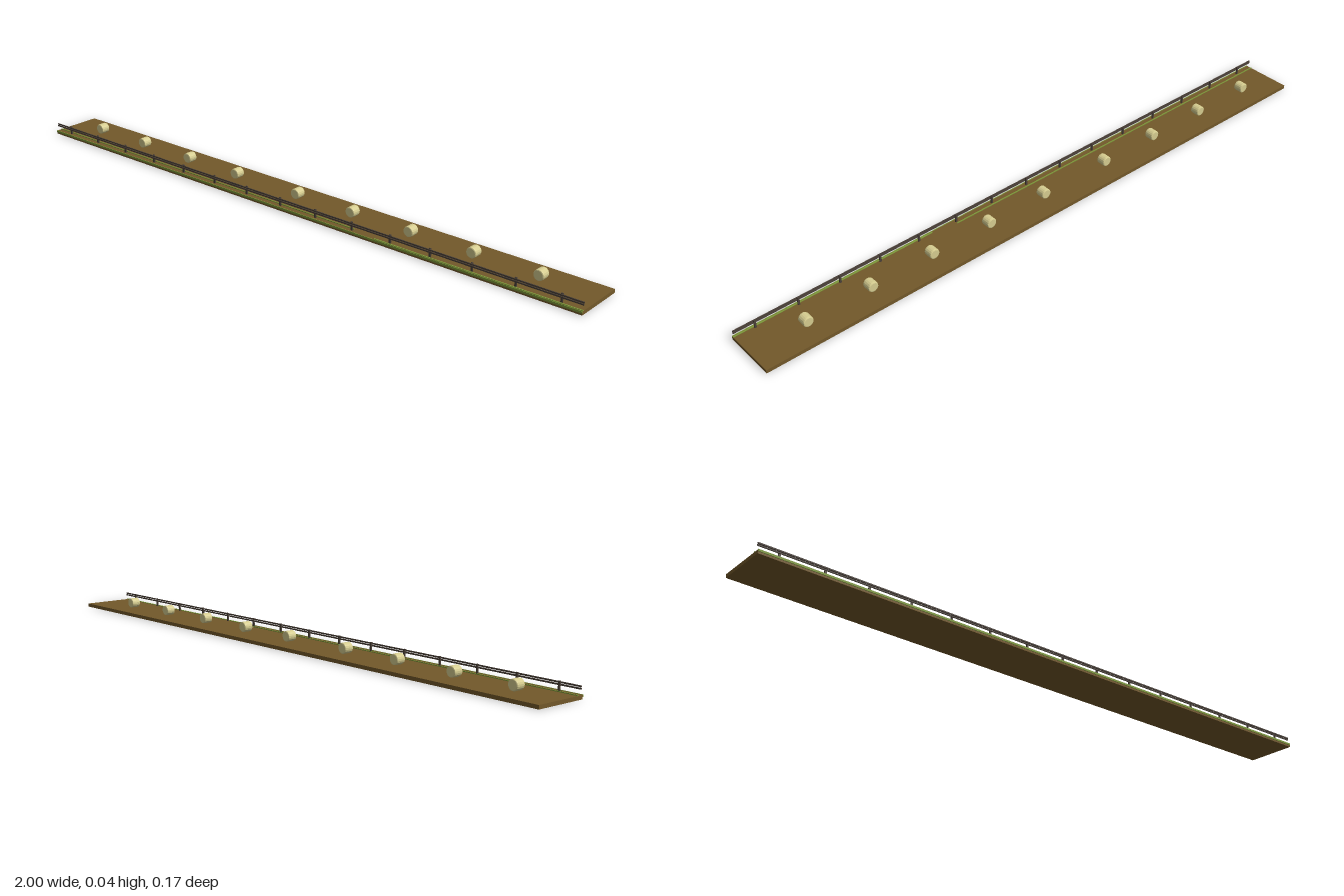
import * as THREE from 'three';

const mat = (color) => new THREE.MeshStandardMaterial({ color, flatShading: true });

export function createModel() {
  const model = new THREE.Group();
  const soil = mat(0x73592a), straw = mat(0xd6cd90), grass = mat(0x7f9a3a), wood = mat(0x4a4038);
  const top = 0.011;

  function box(name, material, size, pos) {
    const mesh = new THREE.Mesh(new THREE.BoxGeometry(...size), material);
    mesh.name = name;
    mesh.position.set(...pos);
    model.add(mesh);
    return mesh;
  }

  // long strip of ground
  box('ground', soil, [2, top, 0.164], [0, top / 2, -0.001]);

  // grass along the front edge and beside the fence
  box('grassEdge', grass, [2, 0.006, 0.002], [0, 0.009, 0.082]);
  box('grassBehindFence', grass, [1.27, 0.003, 0.003], [-0.365, top + 0.001, 0.0625]);
  box('grassBeforeFence', grass, [0.65, 0.002, 0.004], [0.675, top + 0.0005, 0.077]);

  // fence posts, evenly spaced
  for (let i = 0; i < 15; i++) {
    box('fencePost', wood, [0.006, 0.027, 0.004], [-0.936 + i * 0.1337, top + 0.0125, 0.071]);
  }
  // fence rails on the front of the posts
  for (const y of [0.033, 0.027]) {
    box('fenceRail', wood, [2, 0.004, 0.003], [0, y, 0.0745]);
  }

  // round bales lying with their axis along z, edges softly rounded
  const r = 0.016, h = 0.0145;
  const profile = [[0, -h], [r - 0.003, -h], [r - 0.0007, -h + 0.001], [r, -h + 0.004],
    [r, h - 0.004], [r - 0.0007, h - 0.001], [r - 0.003, h], [0, h]]
    .map(([x, y]) => new THREE.Vector2(x, y));
  const baleGeometry = new THREE.LatheGeometry(profile, 18).rotateX(Math.PI / 2);
  for (const x of [-0.866, -0.66, -0.452, -0.246, 0, 0.208, 0.414, 0.622, 0.829]) {
    const bale = new THREE.Mesh(baleGeometry, straw);
    bale.name = 'hayBale';
    bale.position.set(x, top + r, -0.0065);
    model.add(bale);
  }

  return model;
}
